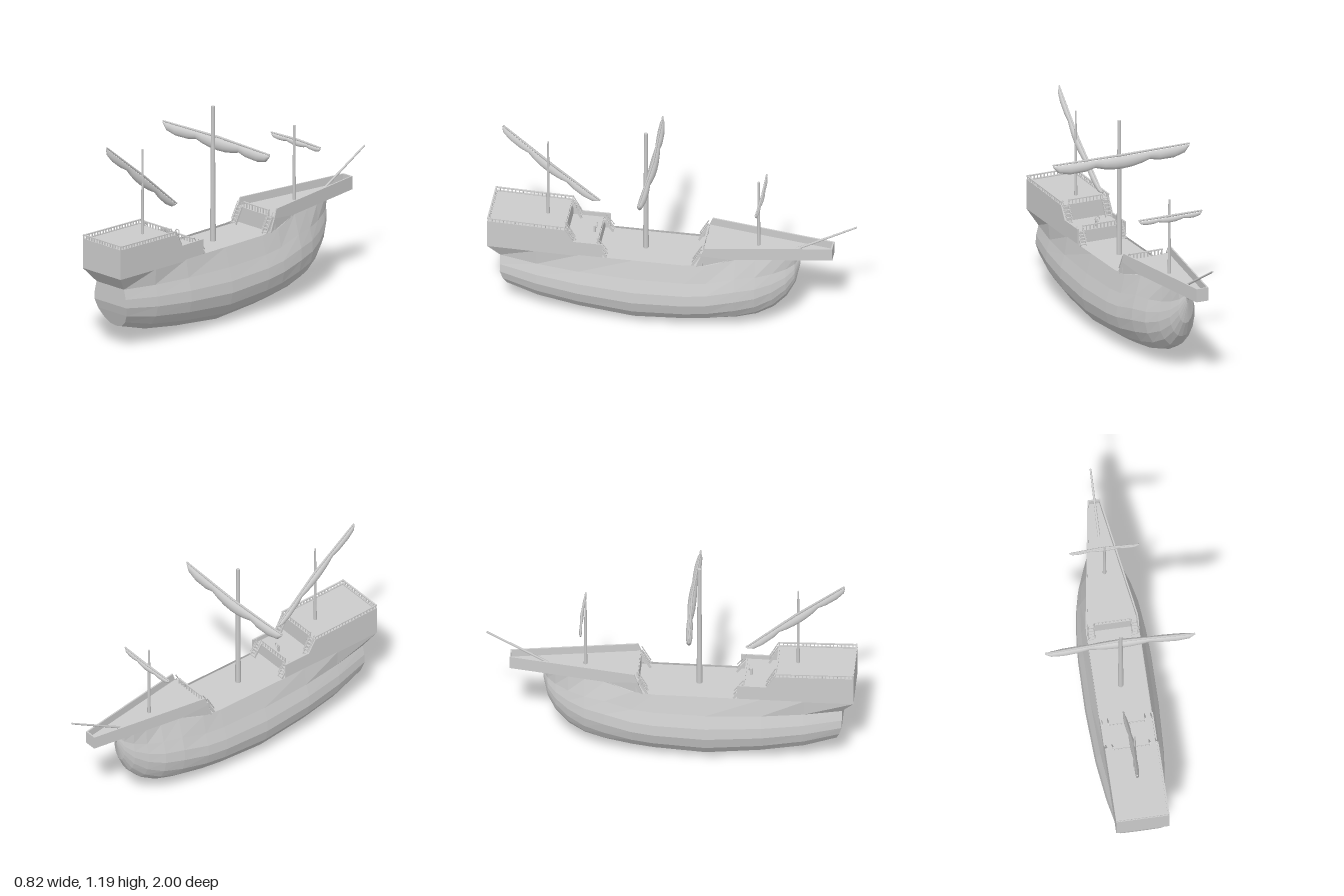
import * as THREE from 'three';

const flat = new THREE.MeshStandardMaterial({ color: 0xcccccc, flatShading: true, side: THREE.DoubleSide });
const smooth = new THREE.MeshStandardMaterial({ color: 0xcccccc, side: THREE.DoubleSide });

function add(parent, name, geometry, material = flat) {
  const mesh = new THREE.Mesh(geometry, material);
  mesh.name = name;
  parent.add(mesh);
  return mesh;
}

function box(parent, name, w, h, d, x, y, z) {
  const mesh = add(parent, name, new THREE.BoxGeometry(w, h, d));
  mesh.position.set(x, y, z);
  return mesh;
}

// Skin a list of equally long cross-sections
function loft(rings) {
  const n = rings[0].length, index = [];
  for (let j = 0; j < rings.length - 1; j++) {
    for (let i = 0; i < n - 1; i++) {
      const a = j * n + i, b = a + n;
      index.push(a, a + 1, b, a + 1, b + 1, b);
    }
  }
  const g = new THREE.BufferGeometry();
  g.setAttribute('position', new THREE.Float32BufferAttribute(rings.flat(2), 3));
  g.setIndex(index);
  g.computeVertexNormals();
  return g;
}

// Round spar between two points
function spar(parent, name, from, to, r0, r1, sides = 8) {
  const a = new THREE.Vector3(...from), b = new THREE.Vector3(...to);
  const mesh = add(parent, name, new THREE.CylinderGeometry(r1, r0, a.distanceTo(b), sides), smooth);
  mesh.position.copy(a).add(b).multiplyScalar(0.5);
  mesh.quaternion.setFromUnitVectors(new THREE.Vector3(0, 1, 0), b.sub(a).normalize());
  return mesh;
}

// Half width of the upper works along the ship
const half = z => (z > -0.17 ? 0.145 : 0.145 + (z + 0.17) * 0.157);

// Thin bulwarks on both sides from a (z, y) outline, following the half width
function sideWalls(parent, name, outline, th = 0.008) {
  for (const side of [1, -1]) {
    const shape = new THREE.Shape(outline.map(p => new THREE.Vector2(...p)));
    const g = new THREE.ExtrudeGeometry(shape, { depth: th, bevelEnabled: false }).rotateY(-Math.PI / 2);
    const p = g.attributes.position;
    for (let i = 0; i < p.count; i++) {
      const h = half(p.getZ(i));
      p.setX(i, p.getX(i) + (side > 0 ? h : th - h));
    }
    add(parent, name, g);
  }
}

// Balusters with a handrail between two points on the deck
function railing(parent, from, to, height, count) {
  const g = new THREE.Group();
  g.name = 'railing';
  const a = new THREE.Vector3(...from), b = new THREE.Vector3(...to);
  for (let i = 0; i <= count; i++) {
    const p = a.clone().lerp(b, i / count);
    box(g, 'baluster', 0.005, height, 0.005, p.x, p.y + height / 2, p.z);
  }
  const mid = a.clone().add(b).multiplyScalar(0.5);
  const rail = box(g, 'handrail', 0.009, 0.006, a.distanceTo(b) + 0.008, mid.x, mid.y + height, mid.z);
  rail.quaternion.setFromUnitVectors(new THREE.Vector3(0, 0, 1), b.sub(a).normalize());
  parent.add(g);
}

// Pair of ladders climbing in direction dir to a deck edge at z
function stairs(parent, z, y0, y1, dir) {
  for (const side of [1, -1]) {
    const g = new THREE.Group();
    g.name = 'stairs';
    const steps = 5, run = 0.05, h = y1 - y0;
    for (let i = 0; i < steps; i++) {
      box(g, 'step', 0.034, 0.005, 0.012, side * 0.119, y0 + h * (i + 0.7) / steps, z - dir * run * (1 - (i + 0.5) / steps));
    }
    for (const x of [0.101, 0.135]) {
      const s = box(g, 'stringer', 0.004, 0.012, Math.hypot(run, h), side * x, y0 + h / 2 + 0.004, z - dir * run / 2);
      s.rotation.x = -dir * Math.atan2(h, run);
      spar(g, 'stairRail', [side * x, y0 + 0.03, z - dir * run], [side * x, y1 + 0.03, z], 0.003, 0.003, 4);
    }
    parent.add(g);
  }
}

// Yard with a furled, scalloped sail hanging below it, along local x
function furledSail(name, length, depth) {
  const g = new THREE.Group();
  g.name = name;
  const drop = [[0, 1], [0.13, 0.96], [0.27, 0.82], [0.4, 0.6], [0.54, 0.8], [0.76, 0.83], [0.92, 0.6], [1, 0.08]];
  const stations = [...drop.slice(1).reverse().map(([u, d]) => [-u, d]), ...drop];
  const bow = u => -0.015 * (length / 0.82) * (1 - u * u);
  const rings = stations.map(([u, d]) => Array.from({ length: 11 }, (_, i) => {
    const a = i / 10 * Math.PI * 2, r = d * depth / 2;
    return [u * length / 2, -0.008 - r + r * Math.cos(a), bow(u) + 0.65 * r * Math.sin(a)];
  }));
  add(g, 'furledCloth', loft(rings), smooth);
  for (const s of [-1, 1]) {
    spar(g, 'yard', [0, 0, bow(0)], [s * length / 2, -0.002, 0], 0.0065, 0.0045, 6);
  }
  return g;
}

export function createModel() {
  const ship = new THREE.Group();
  ship.name = 'sailingShip';

  // Hull sections: z, keel height, widest half, top half, top height
  const sections = [
    [0.935, 0.12, 0.122, 0.145, 0.44], [0.73, 0.07, 0.16, 0.145, 0.44], [0.5, 0.035, 0.187, 0.145, 0.44],
    [0.2, 0.003, 0.2, 0.145, 0.44], [-0.08, 0.022, 0.198, 0.145, 0.44], [-0.2, 0.035, 0.191, 0.141, 0.45],
    [-0.35, 0.055, 0.172, 0.117, 0.49], [-0.46, 0.085, 0.145, 0.1, 0.49], [-0.55, 0.135, 0.108, 0.085, 0.49],
    [-0.62, 0.21, 0.075, 0.067, 0.49], [-0.665, 0.3, 0.045, 0.045, 0.49], [-0.69, 0.42, 0.008, 0.01, 0.49],
  ];
  const rise = [0, 0.025, 0.13, 0.27, 0.43, 0.58, 0.75, 1];
  const girth = [0, 0.35, 0.68, 0.9, 1, 0.975, 0.86];
  const rings = sections.map(([z, keel, wide, top, topY], s) => {
    const rows = rise.map((f, i) => {
      const y = keel + (topY - keel) * f;
      let zz = z;
      if (s === 0) zz = i === 7 ? 1 : z - 0.045 * Math.max(0, (0.25 - y) / 0.13);
      return [i === 7 ? top : Math.max(wide * girth[i], 0), y, zz];
    });
    return [...rows.slice(1).reverse(), ...rows.map(([x, y, zz]) => [-x, y, zz])];
  });
  add(ship, 'hull', loft(rings));
  add(ship, 'transomAndCounter', loft(rings[0].slice(0, 8).map((p, i) => [p, rings[0][14 - i]])));

  // Waist deck
  box(ship, 'mainDeck', 0.284, 0.02, 0.6, 0, 0.42, 0.115);

  // Stern castle
  sideWalls(ship, 'sternBulwark', [[1, 0.44], [1, 0.608], [0.575, 0.597], [0.53, 0.525], [0.37, 0.525], [0.37, 0.43]]);
  box(ship, 'sternWall', 0.29, 0.168, 0.01, 0, 0.524, 0.995);
  box(ship, 'halfDeck', 0.28, 0.015, 0.19, 0, 0.4925, 0.495);
  box(ship, 'halfDeckBulkhead', 0.28, 0.075, 0.01, 0, 0.4625, 0.405);
  const poop = box(ship, 'poopDeck', 0.28, 0.012, 0.42, 0, 0.592, 0.785);
  poop.rotation.x = -0.022;
  box(ship, 'poopBulkhead', 0.28, 0.1, 0.01, 0, 0.542, 0.58);
  for (const s of [-1, 1]) railing(ship, [s * 0.141, 0.597, 0.578], [s * 0.141, 0.608, 0.996], 0.018, 20);
  railing(ship, [-0.141, 0.608, 0.996], [0.141, 0.608, 0.996], 0.02, 14);
  railing(ship, [-0.095, 0.592, 0.58], [0.095, 0.592, 0.58], 0.026, 9);
  railing(ship, [-0.095, 0.5, 0.405], [0.095, 0.5, 0.405], 0.026, 9);
  stairs(ship, 0.4, 0.43, 0.5, 1);
  stairs(ship, 0.575, 0.5, 0.592, 1);

  // Steering wheel
  box(ship, 'wheelStand', 0.012, 0.04, 0.012, 0, 0.52, 0.435);
  const wheel = add(ship, 'wheel', new THREE.TorusGeometry(0.014, 0.003, 5, 10));
  wheel.position.set(0, 0.545, 0.425);

  // Forecastle
  const plan = [[-half(-0.17), 0.17], [half(-0.17), 0.17], [half(-0.87), 0.87], [-half(-0.87), 0.87]];
  const deck = new THREE.ExtrudeGeometry(new THREE.Shape(plan.map(([x, y]) => new THREE.Vector2(x * 0.98, y))),
    { depth: 0.028, bevelEnabled: false }).rotateX(-Math.PI / 2);
  add(ship, 'forecastleDeck', deck).position.y = 0.492;
  sideWalls(ship, 'forecastleBulwark',
    [[-0.14, 0.435], [-0.17, 0.515], [-0.188, 0.565], [-0.87, 0.565], [-0.87, 0.49], [-0.33, 0.49], [-0.2, 0.445]]);
  box(ship, 'bowWall', 0.07, 0.075, 0.008, 0, 0.5275, -0.866);
  box(ship, 'forecastleBulkhead', 0.284, 0.1, 0.01, 0, 0.47, -0.174);
  railing(ship, [-0.095, 0.52, -0.175], [0.095, 0.52, -0.175], 0.03, 9);
  stairs(ship, -0.168, 0.43, 0.52, -1);

  // Masts and bowsprit
  spar(ship, 'mainMast', [0, 0.42, 0.155], [0, 1.197, 0.155], 0.016, 0.01);
  spar(ship, 'foreMast', [0, 0.5, -0.462], [0, 0.943, -0.462], 0.01, 0.006);
  spar(ship, 'mizzenMast', [0, 0.58, 0.69], [0, 1.078, 0.69], 0.009, 0.005);
  spar(ship, 'bowsprit', [0, 0.51, -0.655], [0, 0.702, -0.997], 0.007, 0.005);

  // Yards with furled sails
  const mainSail = furledSail('mainSail', 0.82, 0.07);
  mainSail.position.set(0, 1.012, 0.13);
  const foreSail = furledSail('foreSail', 0.38, 0.03);
  foreSail.position.set(0, 0.857, -0.475);
  const lateenSail = furledSail('lateenSail', 0.69, 0.045);
  lateenSail.position.set(-0.022, 0.92, 0.673);
  lateenSail.rotation.set(0, -Math.PI / 2, 0.693);
  ship.add(mainSail, foreSail, lateenSail);

  return ship;
}
